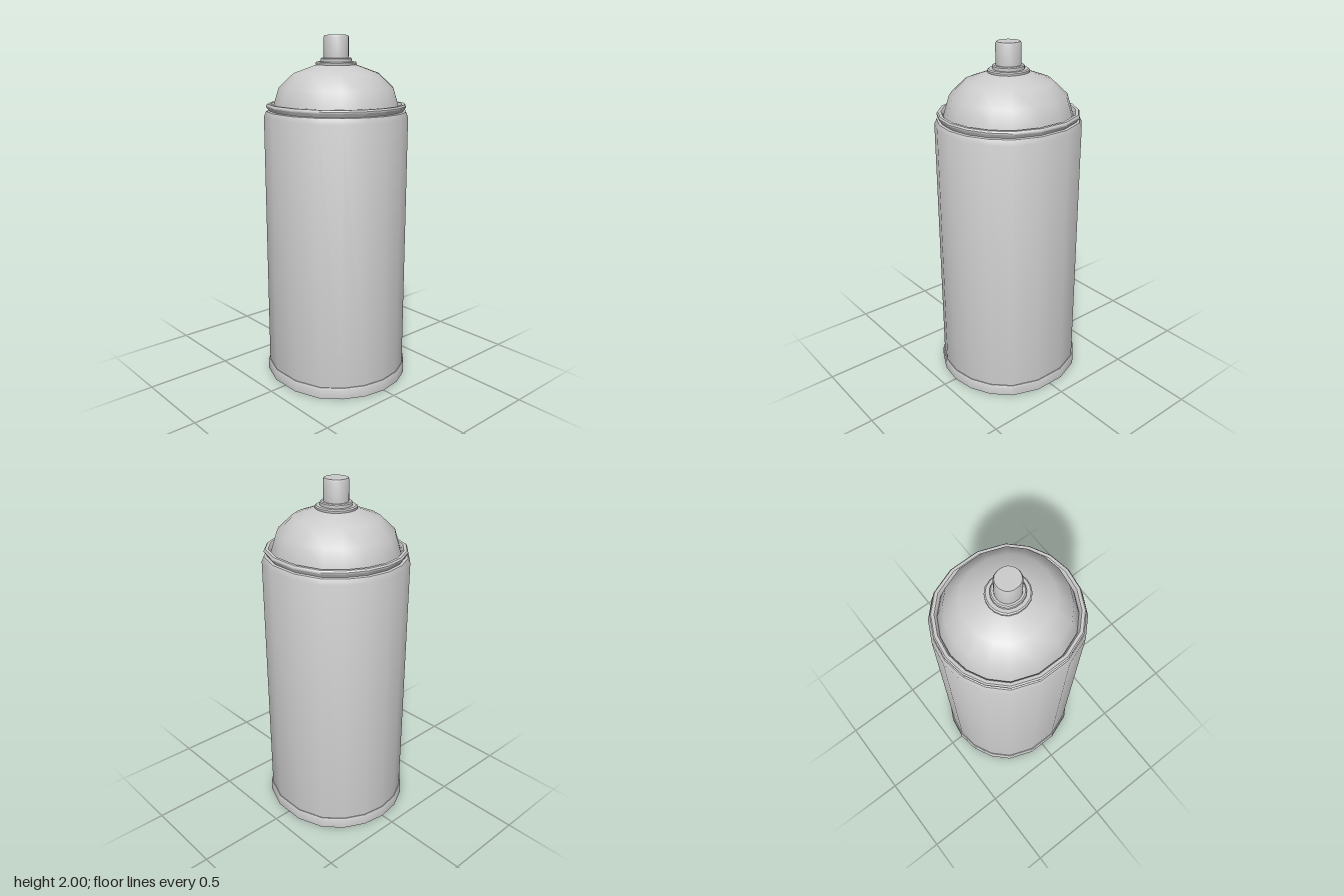
import * as THREE from 'three';
import { toCreasedNormals } from 'three/addons/utils/BufferGeometryUtils.js';

// Uneven 18-sided outline: one half as [angle in degrees, radius factor], mirrored below
const HALF = [[0, 1], [18, 1], [36, 1], [54, 1], [77, 0.97], [103, 0.97], [126, 1], [144, 1], [162, 1]];
const OUTLINE = [...HALF, ...HALF.map(([a, f]) => [a + 180, f])];

const material = new THREE.MeshStandardMaterial({ color: 0xcccccc });

// Revolve a bottom-to-top [radius, height] profile around the uneven outline
function turned(name, profile) {
  const geometry = new THREE.LatheGeometry(profile.map(([r, y]) => new THREE.Vector2(r, y)), OUTLINE.length);
  const pos = geometry.attributes.position;
  for (let i = 0; i < pos.count; i++) {
    const [deg, factor] = OUTLINE[Math.floor(i / profile.length) % OUTLINE.length];
    const [r, y] = profile[i % profile.length];
    const a = THREE.MathUtils.degToRad(deg);
    pos.setXYZ(i, r * factor * Math.sin(a), y, r * factor * Math.cos(a));
  }
  const mesh = new THREE.Mesh(toCreasedNormals(geometry, 0.65), material);
  mesh.name = name;
  return mesh;
}

export function createModel() {
  const group = new THREE.Group();
  group.name = 'sprayCan';
  group.add(
    // Bottom seam with a closed underside
    turned('baseRing', [[0, 0], [0.42, 0], [0.42, 0.055], [0.415, 0.064], [0.40, 0.064]]),
    // Straight wall with a rounded shoulder
    turned('body', [[0.41, 0.05], [0.41, 1.555], [0.397, 1.583], [0.38, 1.586]]),
    // Rolled seam standing a little proud of the dome
    turned('topRim', [[0.38, 1.58], [0.383, 1.59], [0.396, 1.607], [0.396, 1.615], [0.389, 1.624],
      [0.372, 1.624], [0.364, 1.615], [0.358, 1.59]]),
    // Domed shoulder
    turned('dome', [[0.36, 1.595], [0.352, 1.625], [0.324, 1.714], [0.24, 1.793], [0.11, 1.84], [0, 1.845]]),
    // Valve cup in two steps
    turned('valveCup', [[0.11, 1.83], [0.115, 1.84], [0.115, 1.85], [0.108, 1.856], [0.088, 1.856],
      [0.088, 1.872], [0.082, 1.877], [0.06, 1.877]]),
    // Spray button
    turned('nozzle', [[0.07, 1.86], [0.07, 1.99], [0.065, 2], [0, 2]]),
  );
  return group;
}
